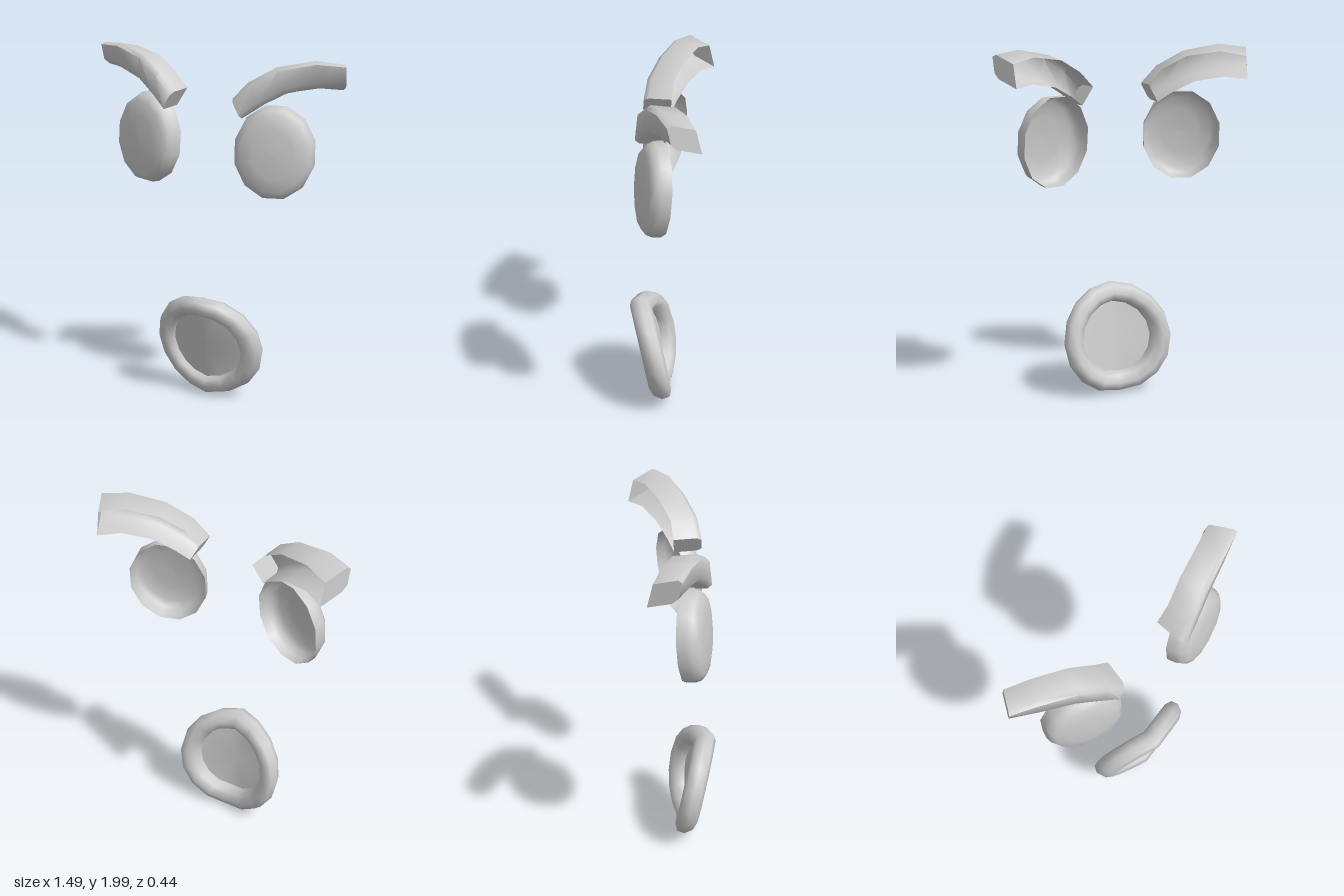
import * as THREE from 'three';
import { mergeVertices, toCreasedNormals } from 'three/addons/utils/BufferGeometryUtils.js';

const material = new THREE.MeshStandardMaterial({ color: 0xcccccc, side: THREE.DoubleSide });
const V = (x, y, z) => new THREE.Vector3(x, y, z);

function part(name, geometry) {
  const mesh = new THREE.Mesh(geometry, material);
  mesh.name = name;
  return mesh;
}

// Shallow oval dome, open at the back, turned outward and slightly up
function eye() {
  const profile = [[0.222, 0], [0.22, 0.05], [0.208, 0.082], [0.18, 0.108], [0.11, 0.123], [0, 0.127]]
    .map(([r, h]) => new THREE.Vector2(r, h));
  const dome = new THREE.LatheGeometry(profile, 12, Math.PI / 12);
  dome.rotateX(Math.PI / 2);
  dome.scale(1, 1.16, 1);
  const mesh = part('eye', dome);
  mesh.position.set(0.375, 1.485, -0.01);
  mesh.rotation.set(-0.08, 0.31, 0, 'YXZ');
  return mesh;
}

// Arched brow: bevelled channel section, closed ends, open back
function eyebrow() {
  // front top corner, front bottom corner at each station, inner to outer
  const stations = [
    [V(0.18, 1.78, 0.135), V(0.24, 1.68, 0.145)],
    [V(0.27, 1.875, 0.125), V(0.325, 1.745, 0.11)],
    [V(0.41, 1.96, 0.07), V(0.45, 1.82, 0.055)],
    [V(0.60, 2.0, 0.0), V(0.615, 1.86, -0.015)],
    [V(0.745, 1.985, -0.06), V(0.74, 1.86, -0.09)],
  ];
  const backInner = V(-0.015, 0.0, -0.155), backOuter = V(-0.07, -0.052, -0.14);
  const rings = stations.map(([top, bottom], i) => {
    const back = backInner.clone().lerp(backOuter, i / (stations.length - 1));
    return [
      top.clone().add(back),
      top.clone().addScaledVector(back, 0.18),
      top.clone().lerp(bottom, 0.16),
      bottom.clone().lerp(top, 0.16),
      bottom.clone().addScaledVector(back, 0.18),
      bottom.clone().add(back),
    ];
  });
  const n = rings[0].length, last = (rings.length - 1) * n, index = [];
  for (let i = 0; i < rings.length - 1; i++) {
    for (let j = 0; j < n - 1; j++) {
      const a = i * n + j, b = a + n;
      index.push(a, a + 1, b, a + 1, b + 1, b);
    }
  }
  for (let j = 1; j < n - 1; j++) {
    index.push(0, j + 1, j, last, last + j, last + j + 1);
  }
  const geometry = new THREE.BufferGeometry().setFromPoints(rings.flat());
  geometry.setIndex(index);
  return part('eyebrow', toCreasedNormals(geometry, 1.0));
}

// Bends a flat shape over the face: leaning forward at the top, swept back at the sides
function bend(geometry, offset) {
  const p = geometry.attributes.position;
  for (let i = 0; i < p.count; i++) {
    p.setZ(i, p.getZ(i) + offset + 0.035 + 0.19 * p.getY(i) - 0.22 * Math.abs(p.getX(i)));
  }
  geometry.deleteAttribute('normal');
  geometry.deleteAttribute('uv');
  const merged = mergeVertices(geometry, 1e-4);
  merged.computeVertexNormals();
  return merged;
}

function mouth() {
  const group = new THREE.Group();
  group.name = 'mouth';
  const lips = new THREE.TorusGeometry(0.27, 0.06, 8, 16);
  lips.scale(1, 0.955, 1.08);
  lips.translate(0, 0.317, 0);
  const inside = new THREE.CircleGeometry(0.225, 16);
  inside.scale(1, 0.9, 1);
  inside.translate(0, 0.317, 0);
  group.add(part('lips', bend(lips, 0)), part('mouthInside', bend(inside, 0.01)));
  return group;
}

export function createModel() {
  const model = new THREE.Group();
  for (const side of [1, -1]) {
    const half = new THREE.Group();
    half.name = side > 0 ? 'leftEyeAndBrow' : 'rightEyeAndBrow';
    half.add(eye(), eyebrow());
    half.scale.x = side;
    model.add(half);
  }
  model.add(mouth());
  return model;
}
